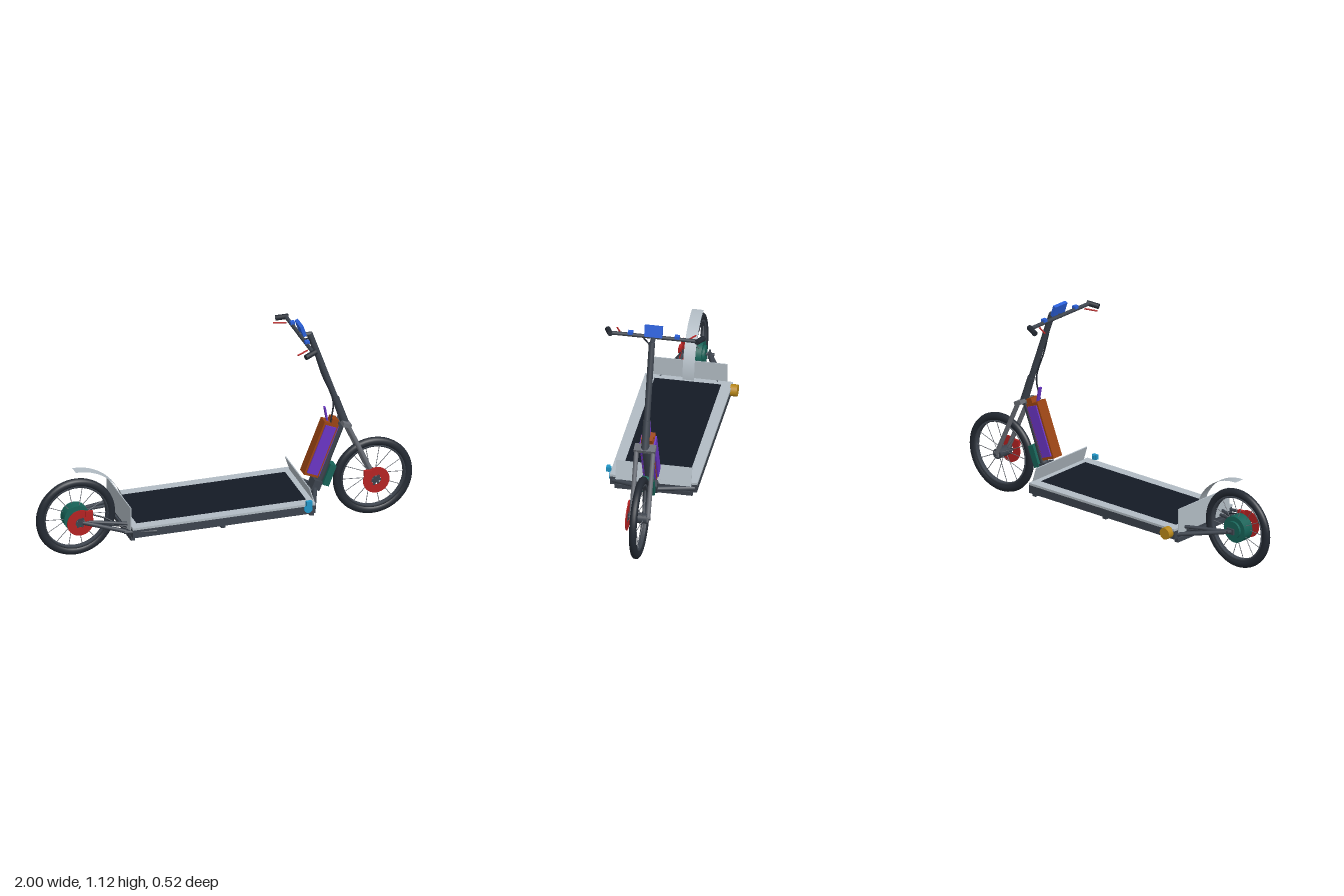
import * as THREE from 'three';

const mat = (color) => new THREE.MeshStandardMaterial({ color, side: THREE.DoubleSide });
const M = {
  steel: mat(0x3c434d), grey: mat(0x6a6e76), light: mat(0xb2bcc4), dark: mat(0x232932), mat: mat(0x141a25),
  red: mat(0xb42222), teal: mat(0x176358), purple: mat(0x6a35c4), orange: mat(0x9a4412),
  blue: mat(0x2a5fd8), cyan: mat(0x2196c8), amber: mat(0xb8881a),
};
const V = (x, y, z) => new THREE.Vector3(x, y, z);

export function createModel() {
  const root = new THREE.Group();
  const add = (name, geo, m, pos = [0, 0, 0], parent = root) => {
    const mesh = new THREE.Mesh(geo, m);
    mesh.name = name;
    mesh.position.set(...pos);
    parent.add(mesh);
    return mesh;
  };
  const box = (name, size, pos, m, parent) => add(name, new THREE.BoxGeometry(...size), m, pos, parent);
  // straight round bar between two points
  const bar = (name, a, b, r, m, parent, r2 = r) => {
    const p = V(...a), q = V(...b), d = q.clone().sub(p);
    const mesh = add(name, new THREE.CylinderGeometry(r2, r, d.length(), 14), m, [0, 0, 0], parent);
    mesh.position.copy(p).add(q).multiplyScalar(0.5);
    mesh.quaternion.setFromUnitVectors(V(0, 1, 0), d.normalize());
    return mesh;
  };
  const bent = (name, pts, r, m) => add(name, new THREE.TubeGeometry(
    new THREE.CatmullRomCurve3(pts.map((p) => V(...p))), 24, r, 8), m);
  // cylinder whose axis runs along z
  const drum = (name, r, w, pos, m, parent) =>
    add(name, new THREE.CylinderGeometry(r, r, w, 28).rotateX(Math.PI / 2), m, pos, parent);

  // Wheels
  const wheel = (name, x, motor) => {
    const g = new THREE.Group();
    g.name = name;
    g.position.set(x, 0.21, 0);
    root.add(g);
    add('tyre', new THREE.TorusGeometry(0.188, 0.022, 14, 56).scale(1, 1, 0.86), M.dark, [0, 0, 0], g);
    const rim = [[0.162, -0.012], [0.172, -0.015], [0.172, 0.015], [0.162, 0.012], [0.162, -0.012]];
    add('rim', new THREE.LatheGeometry(rim.map((p) => new THREE.Vector2(...p)), 56).rotateX(Math.PI / 2), M.steel, [0, 0, 0], g);
    for (let i = 0; i < 14; i++) {
      const a = (i / 14) * Math.PI * 2, c = Math.cos(a), s = Math.sin(a), z = i % 2 ? 0.022 : -0.022;
      bar('spoke', [c * 0.02, s * 0.02, z], [c * 0.165, s * 0.165, 0], 0.0018, M.grey, g);
    }
    drum('axle', 0.008, motor ? 0.17 : 0.11, [0, 0, 0], M.steel, g);
    if (motor) {
      drum('hubMotor', 0.07, 0.06, [0, 0, 0], M.teal, g);
      drum('hubMotorCap', 0.045, 0.085, [0, 0, 0], M.teal, g);
    } else drum('hub', 0.027, 0.078, [0, 0, 0], M.steel, g);
    // brake disc with a centre hole, and its caliper
    const disc = new THREE.Shape().absarc(0, 0, 0.07, 0, Math.PI * 2);
    disc.holes.push(new THREE.Path().absarc(0, 0, 0.025, 0, Math.PI * 2, true));
    const zd = motor ? 0.078 : 0.058;
    add('brakeDisc', new THREE.ExtrudeGeometry(disc, { depth: 0.004, bevelEnabled: false, curveSegments: 24 }), M.red, [0, 0, zd], g);
    for (let i = 0; i < 3; i++) {
      const arm = box('discArm', [0.06, 0.012, 0.004], [0, 0, zd + 0.002], M.steel, g);
      arm.rotation.z = i * Math.PI / 3;
    }
    box('brakeCaliper', [0.04, 0.03, 0.016], [motor ? 0.045 : -0.045, 0.045, zd + 0.002], M.red, g);
  };
  wheel('rearWheel', -0.79, true);
  wheel('frontWheel', 0.787, false);

  // Deck: light border, dark mat, rails and cross members
  for (const s of [-1, 1]) {
    box('deckBorder', [0.97, 0.012, 0.055], [-0.073, 0.203, s * 0.198], M.light);
    box('sideRail', [0.97, 0.045, 0.035], [-0.073, 0.175, s * 0.205], M.steel);
  }
  for (const x of [-0.54, 0.396]) {
    box('deckEndBorder', [0.036, 0.012, 0.35], [x, 0.203, 0], M.light);
    box('endRail', [0.03, 0.04, 0.38], [x, 0.177, 0], M.steel);
  }
  box('deckMat', [0.9, 0.02, 0.342], [-0.072, 0.2, 0], M.mat);
  for (const x of [-0.55, -0.07, 0.4]) box('crossMember', [0.022, 0.022, 0.4], [x, 0.141, 0], M.steel);

  // Upright end plates
  box('rearPlate', [0.005, 0.135, 0.39], [-0.56, 0.243, 0], M.light);
  box('frontPlate', [0.005, 0.1, 0.39], [0.403, 0.236, 0], M.light).rotation.z = 0.3;

  // Rear fender, a quarter arc from above the wheel down to the deck
  add('rearFender', new THREE.CylinderGeometry(0.257, 0.257, 0.06, 28, 1, true, -0.03, Math.PI / 2 + 0.03)
    .rotateX(-Math.PI / 2), M.light, [-0.79, 0.21, 0]);

  // Rear dropout tubes and front frame tubes
  for (const s of [-1, 1]) {
    bar('rearUpperStay', [-0.8, 0.21, s * 0.06], [-0.54, 0.2, s * 0.15], 0.009, M.steel);
    bar('rearLowerStay', [-0.8, 0.21, s * 0.06], [-0.54, 0.17, s * 0.2], 0.011, M.steel);
    bar('rearInnerStay', [-0.8, 0.208, s * 0.06], [-0.45, 0.172, s * 0.16], 0.008, M.steel);
    box('rearDropout', [0.045, 0.03, 0.01], [-0.79, 0.21, s * 0.06], M.steel);
    bar('frontFrameTube', [0.405, 0.174, s * 0.21], [0.475, 0.192, s * 0.02], 0.012, M.steel);
  }
  bar('railSideBar', [-0.6, 0.188, 0.212], [-0.43, 0.175, 0.218], 0.008, M.steel);

  // Down tube and its lower bracket
  bent('downTube', [[0.41, 0.172, 0], [0.455, 0.178, 0], [0.495, 0.215, 0], [0.56, 0.375, 0], [0.622, 0.53, 0]], 0.021, M.steel);
  box('neckBracket', [0.045, 0.05, 0.07], [0.482, 0.21, 0], M.steel).rotation.z = -0.38;

  // Fork, steering column
  box('forkCrown', [0.045, 0.02, 0.11], [0.637, 0.53, 0], M.grey).rotation.z = -0.38;
  for (const s of [-1, 1]) {
    bar('forkLeg', [0.64, 0.53, s * 0.043], [0.787, 0.21, s * 0.043], 0.012, M.grey);
    box('forkDropout', [0.03, 0.026, 0.01], [0.787, 0.21, s * 0.043], M.grey);
  }
  bar('headTube', [0.643, 0.515, 0], [0.59, 0.67, 0], 0.021, M.steel, root, 0.019);
  bar('steeringColumn', [0.61, 0.61, 0], [0.452, 1.05, 0], 0.016, M.steel);
  bar('handlebarStem', [0.462, 1.045, 0], [0.395, 1.052, 0], 0.012, M.steel);

  // Handlebar with swept grips, levers and switches
  bar('handlebar', [0.4, 1.05, -0.23], [0.4, 1.05, 0.23], 0.01, M.steel);
  for (const s of [-1, 1]) {
    bar('grip', [0.412, 1.052, s * 0.222], [0.352, 1.04, s * 0.246], 0.014, M.dark);
    bar('brakeLever', [0.385, 1.042, s * 0.172], [0.325, 1.036, s * 0.202], 0.004, M.red);
    box('switch', [0.022, 0.016, 0.025], [0.4, 1.063, s * 0.12], M.blue);
  }
  box('display', [0.018, 0.06, 0.092], [0.406, 1.087, 0], M.blue).rotation.z = 0.32;

  // Battery leaning along the down tube
  const battery = new THREE.Group();
  battery.name = 'battery';
  battery.position.set(0.505, 0.405, 0);
  battery.rotation.z = -0.38;
  root.add(battery);
  box('batteryCore', [0.08, 0.3, 0.064], [0, 0, 0], M.orange, battery);
  for (const s of [-1, 1]) box('batterySide', [0.06, 0.27, 0.01], [0, 0, s * 0.035], M.purple, battery);
  box('batteryFront', [0.006, 0.28, 0.06], [0.042, 0, 0], M.purple, battery);
  box('batteryCap', [0.035, 0.028, 0.06], [0.015, 0.16, 0], M.orange, battery);
  box('batteryHandle', [0.008, 0.085, 0.02], [-0.035, 0.18, 0], M.purple, battery).rotation.z = 0.55;
  box('controller', [0.034, 0.115, 0.062], [0.55, 0.255, 0], M.teal).rotation.z = -0.38;

  // Side lamp, foot lever and cables
  drum('sideLamp', 0.031, 0.036, [-0.52, 0.185, -0.239], M.amber);
  drum('leverPivot', 0.022, 0.012, [0.372, 0.185, 0.226], M.cyan);
  box('leverArm', [0.016, 0.06, 0.008], [0.372, 0.2, 0.228], M.cyan);
  box('leverPedal', [0.03, 0.025, 0.018], [0.372, 0.22, 0.24], M.cyan);
  bent('columnCable', [[0.41, 1.042, 0.05], [0.445, 1.028, 0.015], [0.515, 0.82, 0.01], [0.572, 0.66, 0.018], [0.555, 0.55, 0.028]], 0.004, M.dark);
  bent('rearBrakeCable', [[-0.745, 0.25, 0.07], [-0.66, 0.225, 0.1], [-0.58, 0.18, 0.14], [-0.5, 0.16, 0.18]], 0.004, M.dark);
  return root;
}
